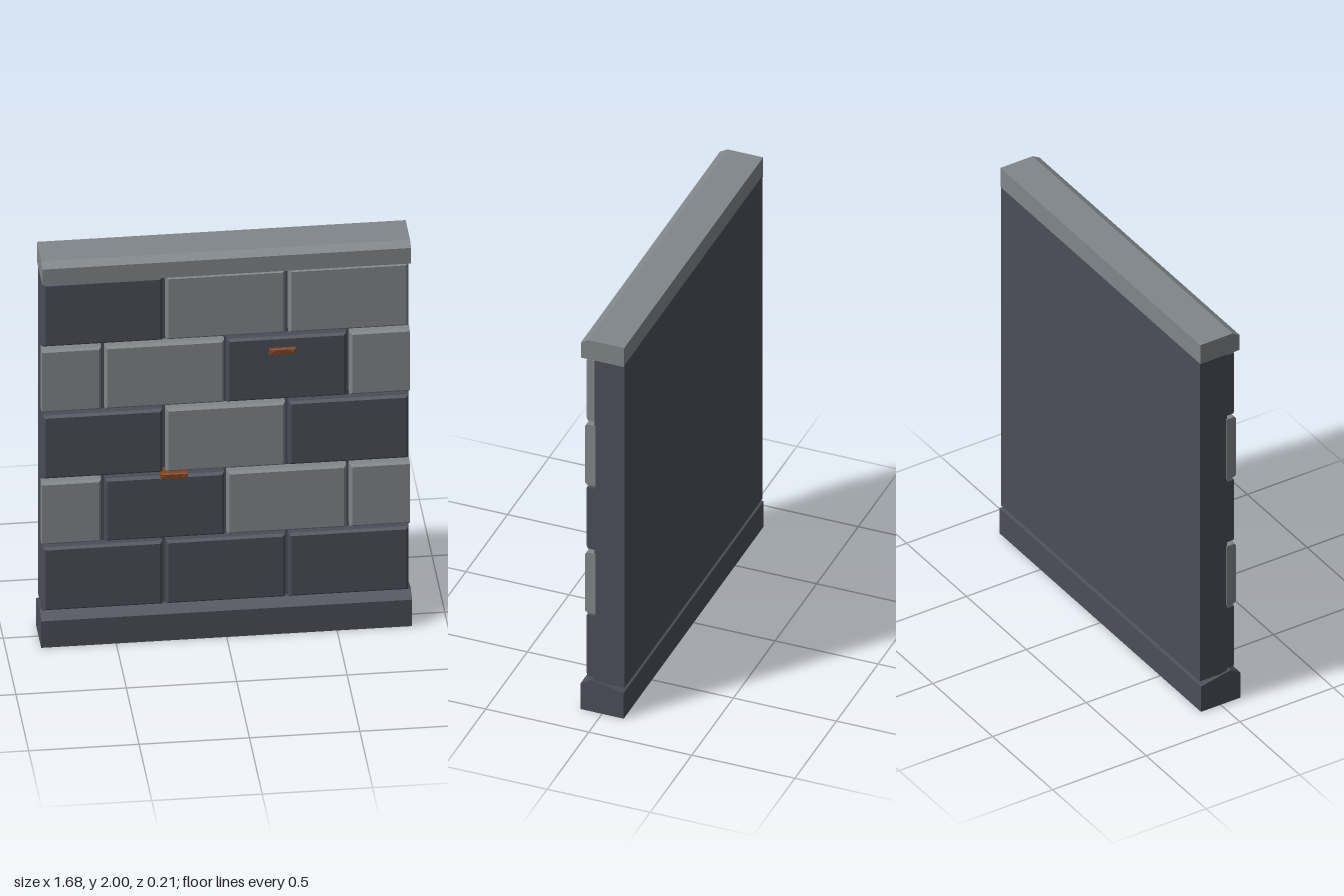
import * as THREE from 'three';

const mat = (name, color) => Object.assign(new THREE.MeshStandardMaterial({ color, flatShading: true }), { name });

// Block whose front edges are bevelled; left/right ends may be left square
function bevelBlock(x0, x1, y0, y1, z0, z1, bevel, depth, cutLeft = false, cutRight = false) {
  const geo = new THREE.BoxGeometry(x1 - x0, y1 - y0, z1 - z0, 1, 1, 2);
  geo.translate((x0 + x1) / 2, (y0 + y1) / 2, (z0 + z1) / 2);
  const p = geo.attributes.position;
  const mid = (z0 + z1) / 2;
  for (let i = 0; i < p.count; i++) {
    const x = p.getX(i), y = p.getY(i), z = p.getZ(i);
    if (Math.abs(z - mid) < 1e-4) p.setZ(i, z1 - depth);
    else if (z > mid) {
      const atLeft = x < (x0 + x1) / 2;
      if (!(atLeft ? cutLeft : cutRight)) p.setX(i, x + (atLeft ? bevel : -bevel));
      p.setY(i, y + (y < (y0 + y1) / 2 ? bevel : -bevel));
    }
  }
  const flat = geo.toNonIndexed();
  flat.computeVertexNormals();
  return flat;
}

// Moulding: a [z, y] side profile extruded along x
function moulding(profile, width) {
  const shape = new THREE.Shape(profile.map(([z, y]) => new THREE.Vector2(-z, y)));
  const geo = new THREE.ExtrudeGeometry(shape, { depth: width, bevelEnabled: false });
  geo.translate(0, 0, -width / 2);
  geo.rotateY(Math.PI / 2);
  return geo;
}

export function createModel() {
  const group = new THREE.Group();
  group.name = 'stoneWall';
  const dark = mat('darkSlate', 0x4a4e58);
  const light = mat('lightStone', 0x80868a);
  const rust = mat('rustedIron', 0x7d4325);
  const add = (name, geo, material, parent = group) => {
    const mesh = new THREE.Mesh(geo, material);
    mesh.name = name;
    parent.add(mesh);
    return mesh;
  };

  // Wall slab behind the bricks
  const core = new THREE.BoxGeometry(1.66, 1.745, 0.145);
  core.translate(0, 1.0325, -0.0325);
  add('core', core, dark);

  // Plinth with sloping top, and coping with chamfered front
  add('plinth', moulding([[-0.105, 0], [0.105, 0], [0.105, 0.138], [0.055, 0.17], [0.03, 0.165], [-0.105, 0.138]], 1.68), dark);
  add('coping', moulding([[-0.105, 1.897], [0.105, 1.897], [0.105, 1.978], [0.068, 2], [-0.105, 2]], 1.67), light);

  // Brick courses, bottom to top; D is dark, L is light
  const whole = [[-0.83, -0.288], [-0.272, 0.268], [0.284, 0.826]];
  const staggered = [[-0.835, -0.565], [-0.549, -0.008], [0.004, 0.545], [0.56, 0.832]];
  const courses = [
    [0.178, 0.507, whole, 'DDD'],
    [0.523, 0.848, staggered, 'LDLL'],
    [0.867, 1.196, whole, 'DLD'],
    [1.214, 1.541, staggered, 'LLDL'],
    [1.558, 1.888, whole, 'DLL'],
  ];
  courses.forEach(([y0, y1, spans, tones], row) => {
    const course = new THREE.Group();
    course.name = `course${row + 1}`;
    group.add(course);
    spans.forEach(([x0, x1], i) => {
      const half = spans === staggered;
      const geo = bevelBlock(x0, x1, y0, y1, 0.035, 0.086, 0.011, 0.011, half && i === 0, half && i === 3);
      add('brick', geo, tones[i] === 'D' ? dark : light, course);
    });
  });

  // Iron clamps with a stud near each end
  for (const [x, y] of [[0.255, 1.471], [-0.237, 0.853]]) {
    const clamp = new THREE.Group();
    clamp.name = 'ironClamp';
    clamp.position.set(x, y, 0);
    group.add(clamp);
    add('clampBar', bevelBlock(-0.061, 0.061, -0.016, 0.016, 0.04, 0.103, 0.004, 0.005), rust, clamp);
    for (const side of [-1, 1]) {
      const stud = new THREE.CylinderGeometry(0.007, 0.009, 0.006, 8);
      stud.rotateX(Math.PI / 2);
      stud.translate(side * 0.045, 0, 0.104);
      add('clampStud', stud, rust, clamp);
    }
  }
  return group;
}
